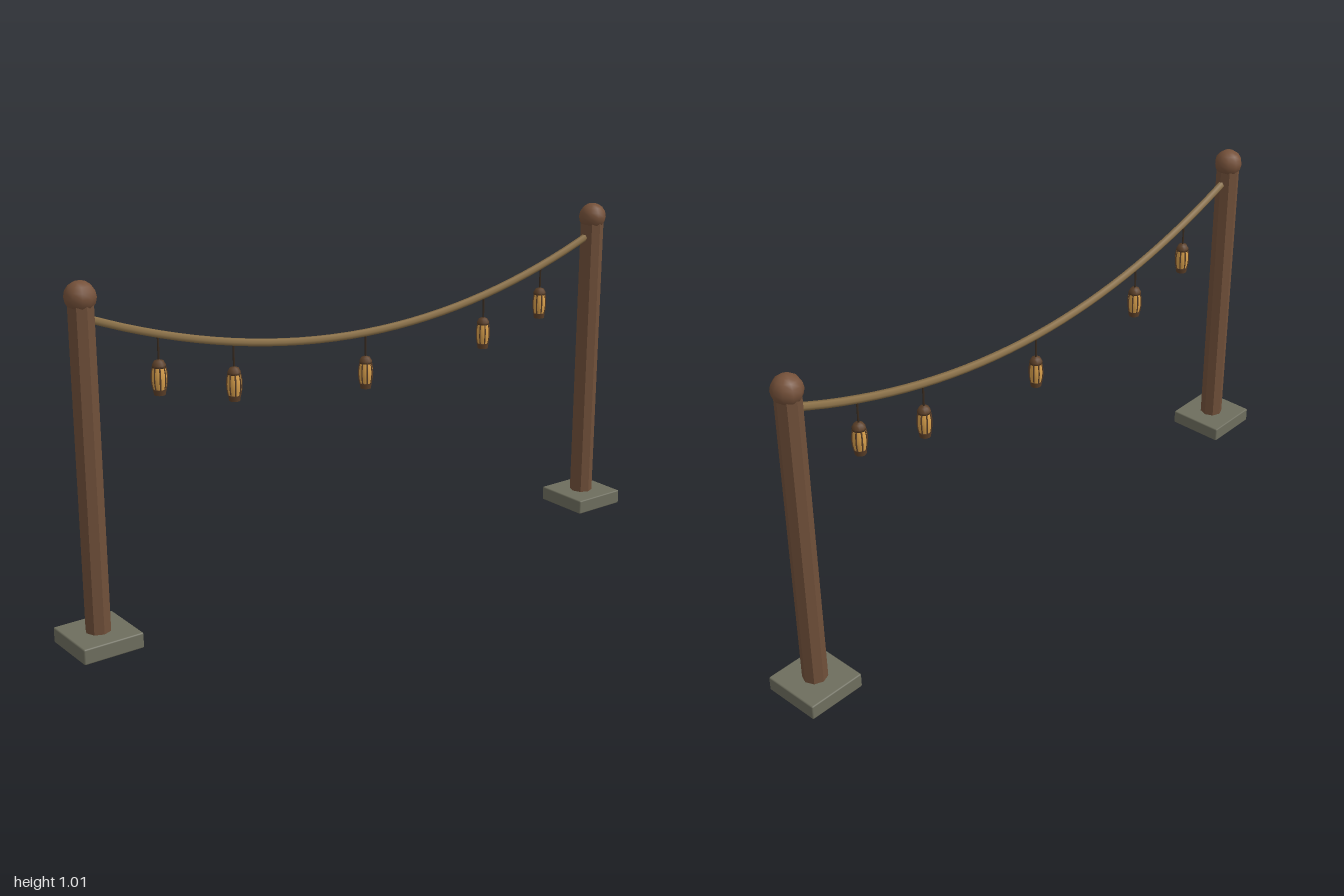
import * as THREE from 'three';
import { RoundedBoxGeometry } from 'three/addons/geometries/RoundedBoxGeometry.js';

const material = (name, color, flatShading = false) => {
  const m = new THREE.MeshStandardMaterial({ color, flatShading });
  m.name = name;
  return m;
};

export function createModel() {
  const wood = material('post wood', 0x70503a, true);
  const knobWood = material('knob wood', 0x75513a);
  const stone = material('stone', 0x6e6e5e);
  const ropeFibre = material('rope', 0x8a7048);
  const paper = material('lantern amber', 0xd9a04c);
  const darkWood = material('lantern wood', 0x5c4029);
  const cord = material('dark cord', 0x3a2c20);

  const model = new THREE.Group();
  model.name = 'lanternGarland';
  const add = (parent, name, geometry, mat, x = 0, y = 0, z = 0) => {
    const mesh = new THREE.Mesh(geometry, mat);
    mesh.name = name;
    mesh.position.set(x, y, z);
    parent.add(mesh);
    return mesh;
  };

  // Two posts on stone footings, topped with knobs
  for (const side of [-1, 1]) {
    const post = new THREE.Group();
    post.name = side > 0 ? 'leftPost' : 'rightPost';
    post.position.x = side * 0.91;
    add(post, 'footing', new RoundedBoxGeometry(0.18, 0.045, 0.18, 1, 0.004), stone, 0, 0.0225);
    add(post, 'shaft', new THREE.CylinderGeometry(0.036, 0.036, 0.92, 8), wood, 0, 0.5);
    add(post, 'knob', new THREE.SphereGeometry(0.043, 10, 8), knobWood, 0, 0.972);
    model.add(post);
  }

  // Sagging rope
  const ropeY = (x) => 0.733 + 0.2247 * x * x;
  const points = [];
  for (let i = 0; i <= 16; i++) {
    const x = -0.9 + (1.8 * i) / 16;
    points.push(new THREE.Vector3(x, ropeY(x), 0));
  }
  const ropeCurve = new THREE.CatmullRomCurve3(points);
  add(model, 'rope', new THREE.TubeGeometry(ropeCurve, 32, 0.0115, 6), ropeFibre);

  // Barrel lantern; its origin is the rope centre above it
  const barrel = [[0.016, -0.154], [0.0195, -0.136], [0.0205, -0.12], [0.0195, -0.104], [0.016, -0.088]];
  const paperGeo = new THREE.LatheGeometry(barrel.map(([r, y]) => new THREE.Vector2(r, y)), 16);
  const ribCurve = new THREE.CatmullRomCurve3(barrel.map(([r, y]) => new THREE.Vector3(r + 0.0005, y, 0)));
  const ribGeo = new THREE.TubeGeometry(ribCurve, 6, 0.0022, 4);
  const capGeo = new THREE.LatheGeometry(
    [[0, -0.092], [0.019, -0.092], [0.019, -0.085], [0.013, -0.074], [0, -0.069]]
      .map(([r, y]) => new THREE.Vector2(r, y)), 10);
  const baseGeo = new THREE.CylinderGeometry(0.0185, 0.016, 0.016, 10);
  const cordGeo = new THREE.CylinderGeometry(0.003, 0.003, 0.075, 5);

  for (const x of [-0.69, -0.455, 0, 0.455, 0.69]) {
    const lantern = new THREE.Group();
    lantern.name = 'lantern';
    lantern.position.set(x, ropeY(x), 0);
    add(lantern, 'hangingCord', cordGeo, cord, 0, -0.0375);
    add(lantern, 'lanternCap', capGeo, darkWood);
    add(lantern, 'lanternBody', paperGeo, paper);
    add(lantern, 'lanternBase', baseGeo, darkWood, 0, -0.16);
    for (let i = 0; i < 8; i++) {
      add(lantern, 'lanternRib', ribGeo, darkWood).rotation.y = ((i + 0.5) * Math.PI) / 4;
    }
    model.add(lantern);
  }
  return model;
}
